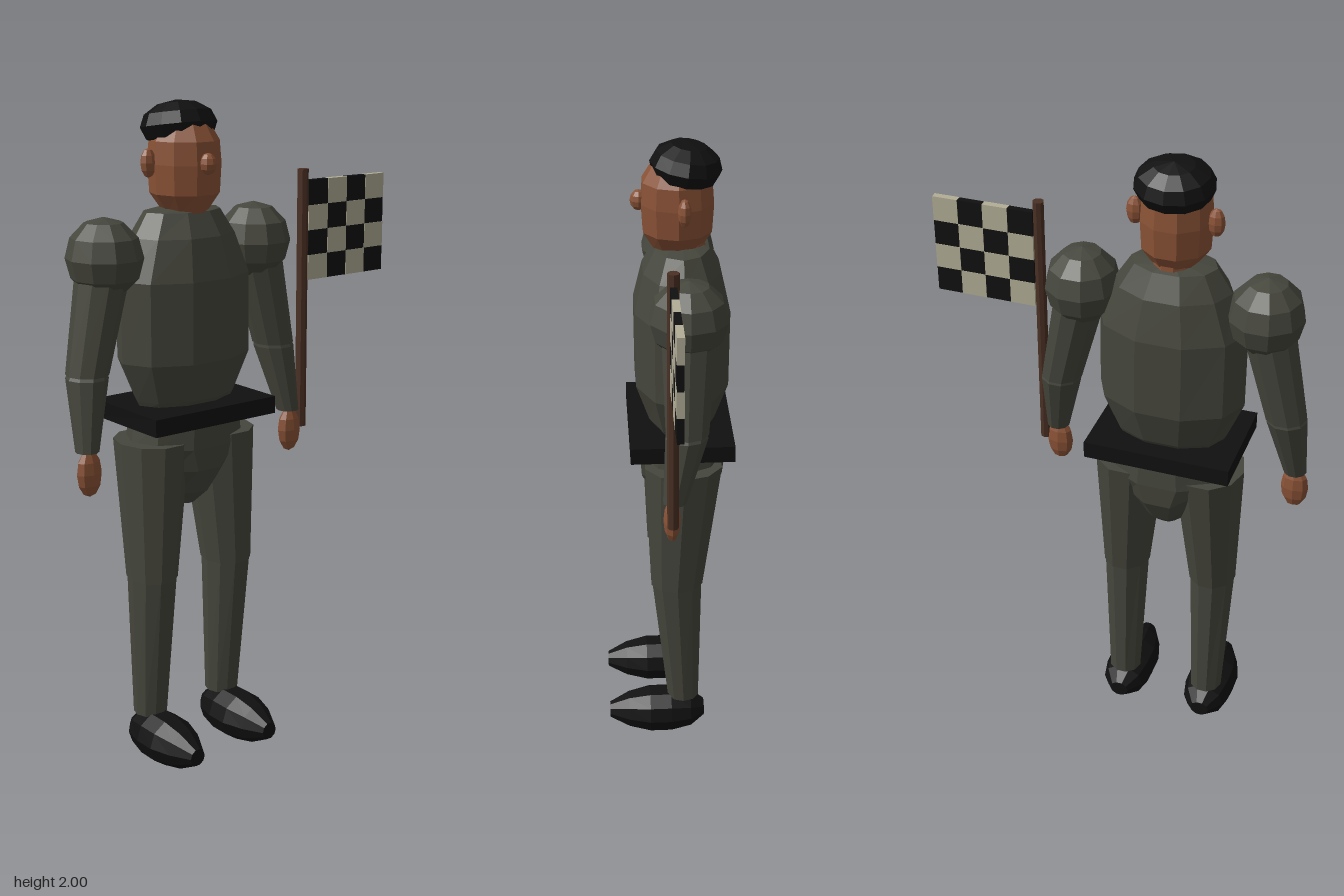
import * as THREE from 'three';

const CX = -0.167; // centre line of the body

const mat = (name, color) => {
  const m = new THREE.MeshStandardMaterial({ color });
  m.name = name;
  return m;
};

// Split all faces so every facet gets its own flat normal
function faceted(geometry) {
  const g = geometry.index ? geometry.toNonIndexed() : geometry;
  g.computeVertexNormals();
  return g;
}

// Closed low-poly body through elliptical rings [x, y, z, rx, rz], bottom to top
function loft(rings, sides = 10) {
  const pos = [], index = [];
  const flat = Math.cos(Math.PI / sides);
  rings.forEach(([x, y, z, rx, rz]) => {
    for (let i = 0; i < sides; i++) {
      const a = ((i + 0.5) / sides) * Math.PI * 2;
      pos.push(x + Math.sin(a) * rx, y, z + (Math.cos(a) * rz) / flat);
    }
  });
  const last = rings.length - 1;
  const bottom = pos.length / 3, top = bottom + 1;
  pos.push(...rings[0].slice(0, 3), ...rings[last].slice(0, 3));
  for (let i = 0; i < sides; i++) {
    const k = (i + 1) % sides;
    for (let j = 0; j < last; j++) {
      const a = j * sides + i, b = j * sides + k;
      index.push(a, b, b + sides, a, b + sides, a + sides);
    }
    index.push(bottom, k, i, top, last * sides + i, last * sides + k);
  }
  const g = new THREE.BufferGeometry();
  g.setAttribute('position', new THREE.Float32BufferAttribute(pos, 3));
  g.setIndex(index);
  return faceted(g);
}

const ball = (rx, ry, rz, w = 10, h = 6) =>
  faceted(new THREE.SphereGeometry(1, w, h).scale(rx, ry, rz));

export function createModel() {
  const model = new THREE.Group();
  model.name = 'flagBearer';
  const uniform = mat('uniform grey green', 0x45463c);
  const skin = mat('skin brown', 0x8a5236);
  const black = mat('black', 0x101010);
  const wood = mat('pole brown', 0x4a3024);
  const cream = mat('flag cream', 0xb2ad96);

  const add = (name, geometry, material, x = 0, y = 0, z = 0, parent = model) => {
    const m = new THREE.Mesh(geometry, material);
    m.name = name;
    m.position.set(x, y, z);
    parent.add(m);
    return m;
  };

  // Torso, belt and pelvis
  add('torso', loft([
    [0, 1.11, 0, 0.155, 0.08],
    [0, 1.14, 0, 0.17, 0.1],
    [0, 1.26, 0, 0.22, 0.14],
    [0, 1.5, 0, 0.22, 0.142],
    [0, 1.62, 0, 0.17, 0.115],
    [0, 1.69, 0, 0.125, 0.08],
    [0, 1.7, 0, 0.06, 0.05],
  ]), uniform, CX, 0, -0.048);
  add('belt', faceted(new THREE.BoxGeometry(0.44, 0.052, 0.315)), black, CX, 1.101, -0.042);
  add('pelvis', loft([
    [0, 0.8, 0, 0.03, 0.03],
    [0, 0.85, 0, 0.075, 0.085],
    [0, 0.93, 0, 0.13, 0.126],
    [0, 1.0, 0, 0.195, 0.131],
    [0, 1.09, 0, 0.18, 0.128],
  ]), uniform, CX, 0, -0.05);

  // Head
  const head = new THREE.Group();
  head.name = 'head';
  head.position.set(CX, 0, -0.035);
  model.add(head);
  add('neck', loft([[0, 1.64, 0, 0.06, 0.06], [0, 1.73, 0, 0.055, 0.055]]), skin, 0, 0, -0.025, head);
  add('face', loft([
    [0, 1.685, 0, 0.06, 0.068],
    [0, 1.74, 0, 0.1, 0.1],
    [0, 1.825, 0, 0.105, 0.105],
    [0, 1.89, 0, 0.1, 0.1],
    [0, 1.95, 0, 0.065, 0.065],
  ]), skin, 0, 0, 0, head);
  add('hair', ball(0.115, 0.07, 0.106, 12, 6), black, 0, 1.931, -0.025, head).rotation.x = -0.15;
  add('nose', ball(0.025, 0.031, 0.025, 8, 6), skin, 0, 1.83, 0.112, head);

  for (const s of [-1, 1]) {
    const side = s > 0 ? 'left' : 'right';
    add(side + 'Ear', ball(0.025, 0.042, 0.02, 8, 6), skin, s * 0.116, 1.83, -0.015, head);

    // Arm
    add(side + 'Shoulder', ball(0.11, 0.116, 0.117), uniform, CX + s * 0.27, 1.575, -0.053);
    add(side + 'UpperArm', loft([
      [s * 0.343, 1.25, -0.045, 0.062, 0.062],
      [s * 0.27, 1.57, -0.053, 0.08, 0.08],
    ]), uniform, CX);
    add(side + 'Forearm', loft([
      [s * 0.374, 1.035, -0.008, 0.034, 0.034],
      [s * 0.345, 1.24, -0.044, 0.061, 0.061],
      [s * 0.335, 1.28, -0.047, 0.05, 0.05],
    ]), uniform, CX);
    add(side + 'Hand', ball(0.042, 0.07, 0.026, 8, 6), skin, CX + s * 0.374, 0.972, 0);

    // Leg
    add(side + 'Thigh', loft([
      [s * 0.141, 0.595, -0.028, 0.074, 0.081],
      [s * 0.122, 1.02, -0.048, 0.108, 0.118],
    ]), uniform, CX);
    add(side + 'Shin', loft([
      [s * 0.14, 0.14, -0.05, 0.051, 0.05],
      [s * 0.141, 0.6, -0.028, 0.071, 0.078],
    ]), uniform, CX);

    // Shoe, lofted heel to toe and laid along z
    add(side + 'Shoe', loft([
      [0, -0.12, 0, 0.03, 0.026],
      [0, -0.075, 0, 0.066, 0.058],
      [0, -0.01, 0, 0.08, 0.073],
      [0, 0.06, 0, 0.08, 0.073],
      [0, 0.13, 0, 0.06, 0.058],
      [0, 0.194, 0, 0.026, 0.026],
    ]).rotateX(Math.PI / 2), black, CX + s * 0.14, 0.0755, 0);
  }

  // Chequered flag in the left hand
  const flag = new THREE.Group();
  flag.name = 'flag';
  model.add(flag);
  add('pole', faceted(new THREE.CylinderGeometry(0.017, 0.017, 0.805, 8)), wood, 0.254, 1.378, 0, flag);
  const cw = 0.0775, ch = 0.0765;
  for (let r = 0; r < 4; r++) {
    for (let c = 0; c < 4; c++) {
      const light = (r + c) % 2 === 1;
      add(light ? 'lightSquare' : 'darkSquare',
        faceted(new THREE.BoxGeometry(cw, ch, light ? 0.021 : 0.019)),
        light ? cream : black,
        0.27 + (c + 0.5) * cw, 1.746 - (r + 0.5) * ch, 0, flag);
    }
  }
  return model;
}
